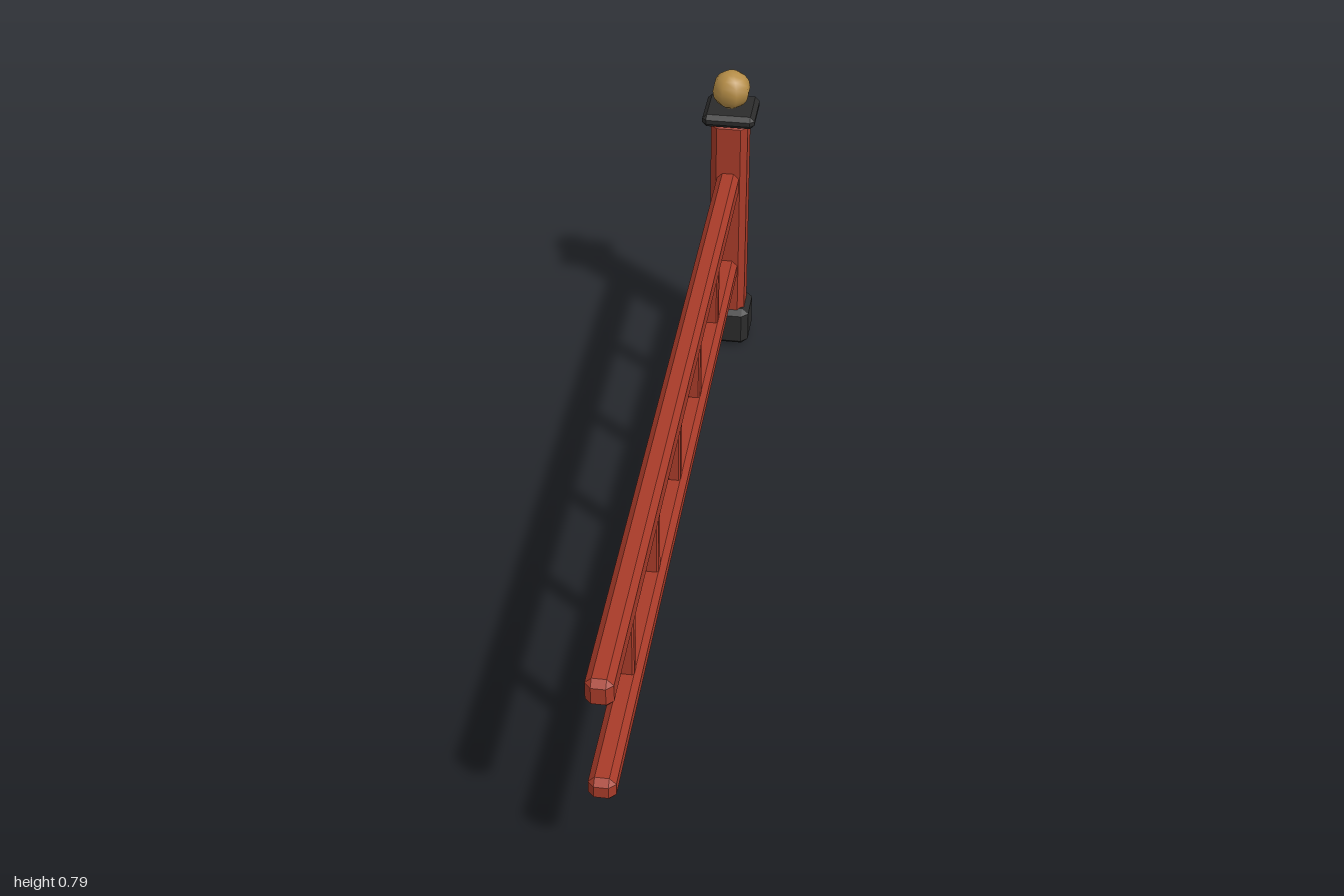
import * as THREE from 'three';
import { ConvexGeometry } from 'three/addons/geometries/ConvexGeometry.js';

// Box with every edge cut by a flat chamfer; cy is the chamfer measured vertically
function chamferBox(w, h, d, c, cy = c) {
  const points = [];
  for (const sx of [-1, 1]) for (const sy of [-1, 1]) for (const sz of [-1, 1]) {
    const x = w / 2, y = h / 2, z = d / 2;
    points.push(
      new THREE.Vector3(sx * x, sy * (y - cy), sz * (z - c)),
      new THREE.Vector3(sx * (x - c), sy * y, sz * (z - c)),
      new THREE.Vector3(sx * (x - c), sy * (y - cy), sz * z)
    );
  }
  return new ConvexGeometry(points);
}

export function createModel() {
  const group = new THREE.Group();
  const material = (name, color) => {
    const m = new THREE.MeshStandardMaterial({ color });
    m.name = name;
    return m;
  };
  const red = material('red paint', 0xa83b29);
  const black = material('black iron', 0x2b2b2b);
  const gold = material('gold', 0xb58d47);

  const add = (name, geometry, mat, y, z) => {
    const mesh = new THREE.Mesh(geometry, mat);
    mesh.name = name;
    mesh.position.set(0, y, z);
    group.add(mesh);
    return mesh;
  };

  // End post with its foot, cap and ball
  const postZ = -0.934;
  add('post', chamferBox(0.093, 0.66, 0.093, 0.016, 0.011), red, 0.33, postZ);
  add('postFoot', chamferBox(0.12, 0.109, 0.12, 0.017, 0.015), black, 0.0565, postZ);
  add('postCap', chamferBox(0.132, 0.033, 0.132, 0.011), black, 0.6755, postZ);
  const ball = add('ballFinial', new THREE.SphereGeometry(0.049, 8, 8), gold, 0.738, postZ);
  ball.rotation.y = Math.PI / 8;

  // Long rails, running from inside the post to the free end
  const railLength = 1 - postZ, railZ = (1 + postZ) / 2;
  add('topRail', chamferBox(0.056, 0.066, railLength, 0.0135), red, 0.488, railZ);
  add('bottomRail', chamferBox(0.056, 0.054, railLength, 0.0135), red, 0.233, railZ);

  // Balusters
  const baluster = chamferBox(0.03, 0.25, 0.03, 0.004);
  for (let i = 0; i < 5; i++) add('baluster' + (i + 1), baluster, red, 0.36, 0.68 - i * 0.3225);

  return group;
}
